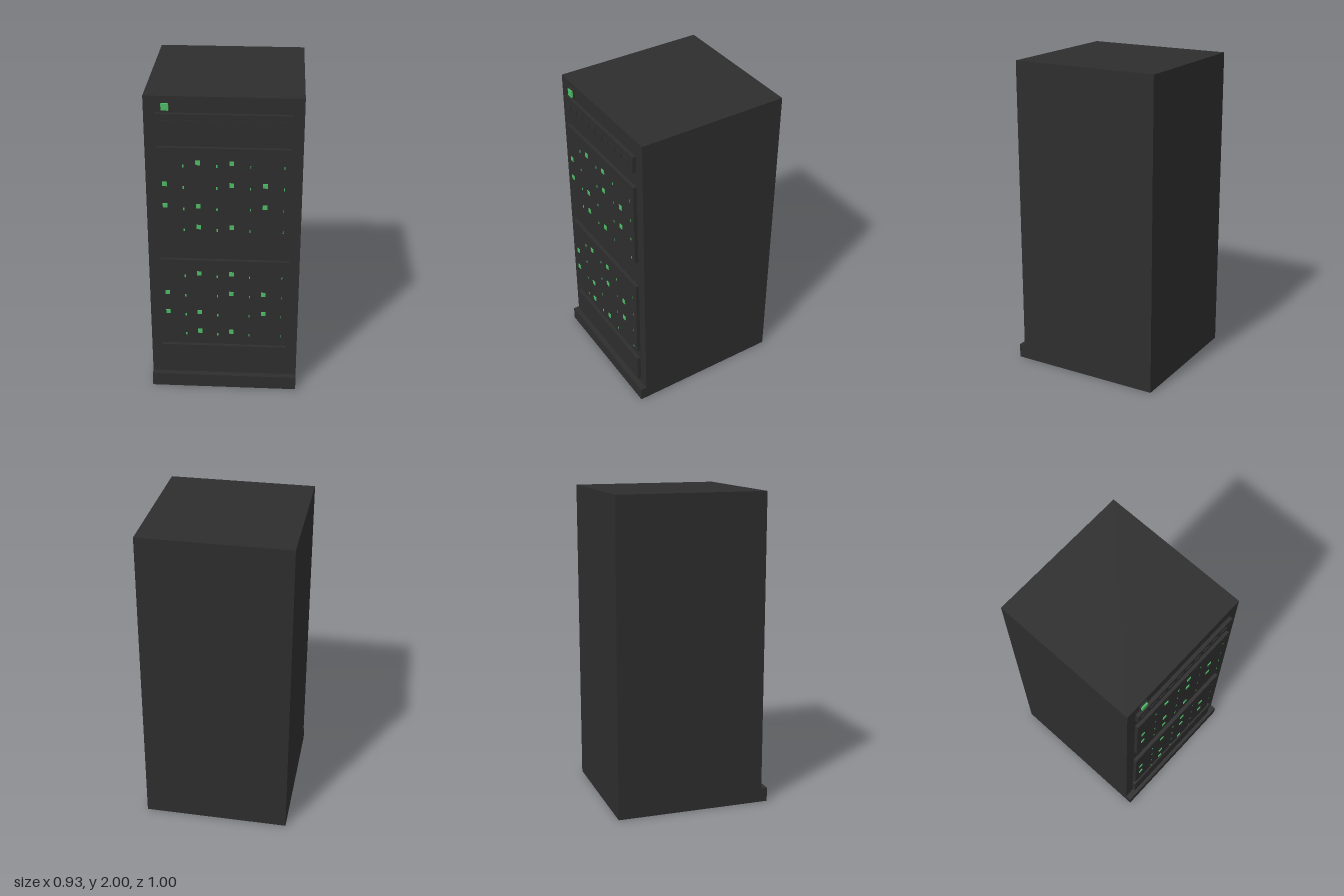
import * as THREE from 'three';

export function createModel() {
  const group = new THREE.Group();
  const dark = new THREE.MeshStandardMaterial({ color: 0x2d2d2d });
  dark.name = 'charcoal';
  const green = new THREE.MeshStandardMaterial({ color: 0x4dba64 });
  green.name = 'lampGreen';

  // Box given by its front-face centre and size, and its z range
  const box = (name, x, y, w, h, z0, z1, mat = dark) => {
    const mesh = new THREE.Mesh(new THREE.BoxGeometry(w, h, z1 - z0), mat);
    mesh.position.set(x, y, (z0 + z1) / 2);
    mesh.name = name;
    group.add(mesh);
  };

  // Cabinet and projecting plinth
  box('cabinet', 0, 1, 0.934, 2, -0.5, 0.46);
  box('plinth', 0, 0.045, 0.934, 0.09, 0.46, 0.5);

  // Raised front panels
  const face = 0.483;
  box('switchStrip', 0, 1.847, 0.8, 0.106, 0.46, face);
  box('ventPanel', 0, 0.22, 0.8, 0.184, 0.46, face);
  for (let i = 0; i < 10; i++) {
    box('switch', -0.348 + i * 0.075, 1.845, 0.05, 0.034, face, 0.488);
  }

  // Power lamp with its housing
  box('powerLampHousing', -0.34, 1.938, 0.06, 0.066, 0.46, 0.468);
  box('powerLamp', -0.34, 1.938, 0.045, 0.042, 0.468, 0.478, green);

  // Two lamp panels, each with square lamps and small side indicators
  const lit = ['0110', '1011', '1101', '0110'];
  for (const base of [0.38, 1.13]) {
    box('lampPanel', 0, base + 0.28, 0.8, 0.56, 0.46, face);
    lit.forEach((row, r) => {
      const y = base + 0.468 - r * 0.1415;
      [...row].forEach((on, c) => {
        const x = -0.352 + c * 0.2;
        if (on === '1') box('lamp', x, y, 0.028, 0.028, face, 0.488, green);
        const w = c < 2 ? 0.009 : 0.005;
        box('indicator', x + 0.112, y - 0.022, w, 0.018, face, 0.4845, green);
      });
    });
  }
  return group;
}
